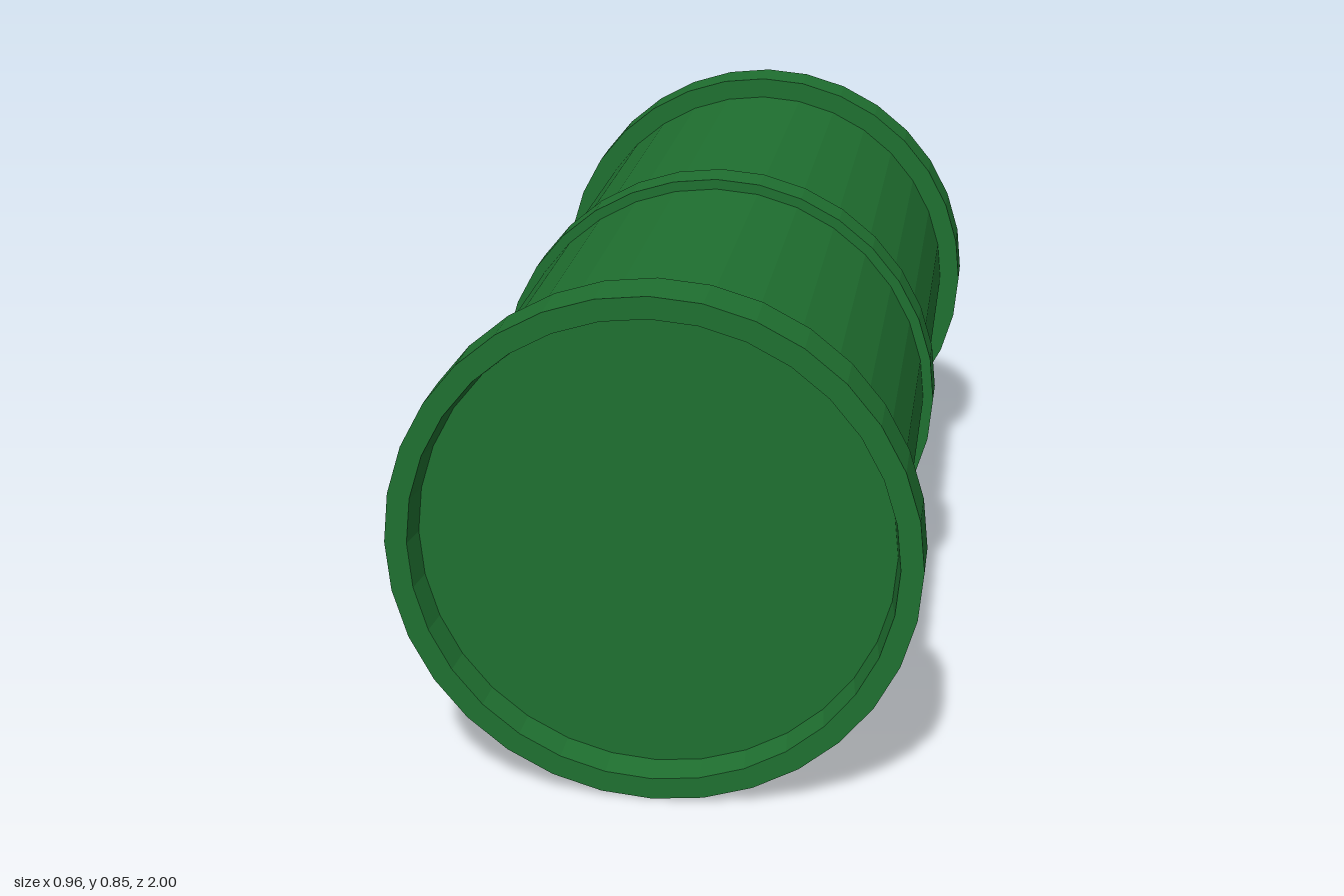
import * as THREE from 'three';

const green = new THREE.MeshStandardMaterial({ color: 0x1f7030, flatShading: true });
const grey = new THREE.MeshStandardMaterial({ color: 0xcccccc });
const AXIS = { x: 0.058, y: 0.424 };

// A tube path with sharp bends: one ring per point, mitred at each corner
class BentPath extends THREE.Curve {
  constructor(points) {
    super();
    this.points = points;
  }
  getPointAt(u, target = new THREE.Vector3()) {
    return target.copy(this.points[Math.round(u * (this.points.length - 1))]);
  }
  getTangentAt(u, target = new THREE.Vector3()) {
    const p = this.points;
    const i = Math.round(u * (p.length - 1));
    target.set(0, 0, 0);
    if (i > 0) target.add(p[i].clone().sub(p[i - 1]).normalize());
    if (i < p.length - 1) target.add(p[i + 1].clone().sub(p[i]).normalize());
    return target.normalize();
  }
}

// Turns a [radius, z] profile around the drum's lengthwise axis
function turn(name, profile) {
  const points = profile.map(([r, z]) => new THREE.Vector2(r, z));
  const mesh = new THREE.Mesh(new THREE.LatheGeometry(points, 32).rotateX(Math.PI / 2), green);
  mesh.name = name;
  mesh.position.set(AXIS.x, AXIS.y, 0);
  return mesh;
}

export function createModel() {
  const model = new THREE.Group();
  model.name = 'drumWithHose';

  // Drum wall and middle hoop
  model.add(turn('drumWall', [[0.385, -0.55], [0.385, 0.92]]));
  model.add(turn('middleHoop', [[0.384, 0.155], [0.403, 0.155], [0.403, 0.23], [0.384, 0.23]]));

  // Raised end rims with recessed heads
  const rim = [[0.384, 0.905], [0.424, 0.905], [0.424, 1], [0.388, 1], [0.381, 0.95]];
  const head = [[0.381, 0.95], [0, 0.95]];
  const toBack = (profile) => profile.map(([r, z]) => [r, 0.375 - z]).reverse();
  model.add(turn('frontRim', rim), turn('frontHead', head));
  model.add(turn('backRim', toBack(rim)), turn('backHead', toBack(head)));

  // Outlet collar on the back head
  const collar = new THREE.Mesh(new THREE.CylinderGeometry(0.075, 0.075, 0.08, 20).rotateX(Math.PI / 2), green);
  collar.name = 'outletCollar';
  collar.position.set(0.055, 0.157, -0.6);
  model.add(collar);

  // Hose from the outlet, around the rim and along the side
  const hose = new THREE.Group();
  hose.name = 'hose';
  const radius = 0.056;
  const path = new BentPath([
    [0.055, 0.16, -0.59], [0.055, 0.16, -0.76], [0.055, 0.163, -0.88], [-0.045, 0.195, -0.942],
    [-0.225, 0.24, -0.938], [-0.35, 0.25, -0.77], [-0.41, 0.235, -0.68], [-0.426, 0.216, -0.3],
    [-0.4, 0.225, 0.05], [-0.367, 0.25, 0.48],
  ].map((p) => new THREE.Vector3(...p)));
  const tube = new THREE.Mesh(new THREE.TubeGeometry(path, path.points.length - 1, radius, 20), grey);
  tube.name = 'hoseTube';
  hose.add(tube);

  // Closed free end of the hose
  const end = new THREE.Mesh(new THREE.CircleGeometry(radius, 20), grey);
  end.name = 'hoseEnd';
  end.position.copy(path.getPointAt(1));
  end.quaternion.setFromUnitVectors(new THREE.Vector3(0, 0, 1), path.getTangentAt(1));
  hose.add(end);
  model.add(hose);

  return model;
}
